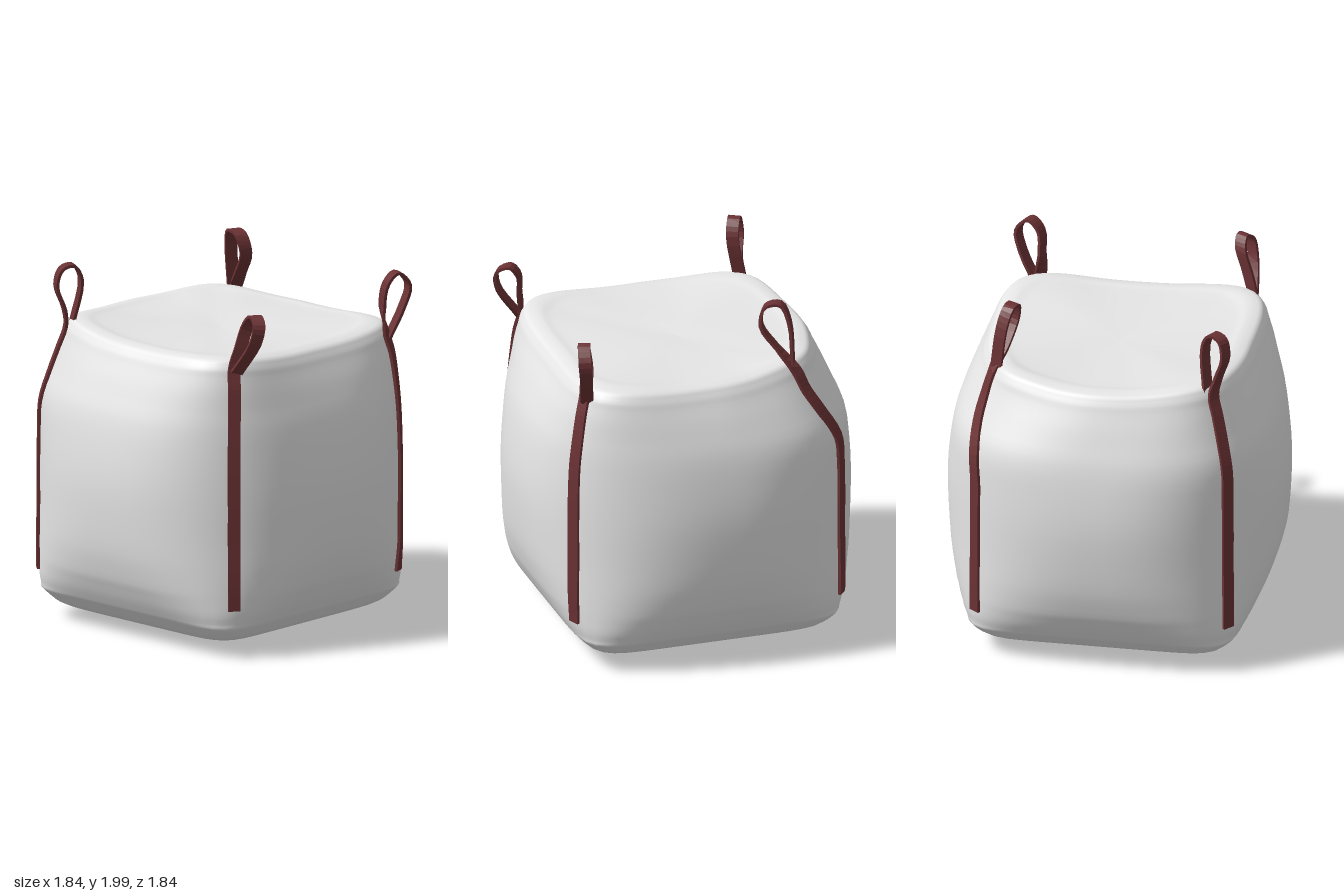
import * as THREE from 'three';

const fabric = new THREE.MeshStandardMaterial({ color: 0xe6e6e6 });
fabric.name = 'light grey fabric';
const webbing = new THREE.MeshStandardMaterial({ color: 0x6b3234 });
webbing.name = 'dark red webbing';

// Bag cross-sections from the base to the middle of the lid: height, half width, squareness
const profile = new THREE.CatmullRomCurve3([
  [0.003, 0.001, 3], [0.012, 0.3, 4], [0.03, 0.46, 6], [0.065, 0.61, 8], [0.1, 0.68, 9],
  [0.15, 0.73, 8.5], [0.2, 0.77, 6.1], [0.3, 0.825, 4], [0.4, 0.865, 3.15], [0.6, 0.905, 2.58],
  [0.9, 0.92, 2.43], [1.2, 0.885, 2.72], [1.4, 0.82, 3.35], [1.55, 0.755, 4.3], [1.61, 0.725, 4.8],
  [1.64, 0.698, 4.9], [1.648, 0.66, 4.9], [1.642, 0.58, 4.5], [1.635, 0.3, 3.5], [1.63, 0.001, 3],
].map((p) => new THREE.Vector3(...p)));
const WALL_END = 14 / 19;

// How far each upper corner is pulled in, quarter by quarter from +x towards +z
const pull = [-0.02, -0.02, 0.07, 0.12];

function bagPoint(u, angle) {
  const { x: h, y: w, z: n } = profile.getPoint(u);
  const c = Math.cos(angle), s = Math.sin(angle);
  const corner = Math.sin(2 * angle) ** 2;
  const quadrant = Math.floor(((angle / (Math.PI / 2)) % 4 + 4) % 4);
  const upper = THREE.MathUtils.smoothstep(h, 1.2, 1.62);
  const r = w * (Math.abs(c) ** n + Math.abs(s) ** n) ** (-1 / n)
    * (1 - pull[quadrant] * upper * corner);
  const x = r * c, z = r * s;
  // Rim rises at the corners and towards the back, and a soft fold crosses the lid
  const lift = THREE.MathUtils.smoothstep(h, 1.35, 1.63) * Math.min(1, w / 0.7) ** 2;
  let y = h + lift * (0.03 * corner ** 2 - 0.01 - 0.014 * (x + z));
  if (u > 16 / 19) y -= 0.007 * Math.exp(-(((x + z) / 0.15) ** 2)) * Math.min(1, (u - 16 / 19) * 19);
  return new THREE.Vector3(x, y, z);
}

function bagGeometry(rings = 76, sides = 96) {
  const pos = [], index = [];
  for (let i = 0; i <= rings; i++) {
    for (let j = 0; j < sides; j++) {
      pos.push(...bagPoint(i / rings, (j / sides) * Math.PI * 2).toArray());
      if (i === rings) continue;
      const a = i * sides + j, b = i * sides + (j + 1) % sides;
      index.push(a, a + sides, b, b, a + sides, b + sides);
    }
  }
  const g = new THREE.BufferGeometry();
  g.setAttribute('position', new THREE.Float32BufferAttribute(pos, 3));
  g.setIndex(index);
  g.computeVertexNormals();
  return g;
}

// Flat band with a rectangular section swept along a curve; widthAt gives its sideways direction
function bandGeometry(curve, widthAt, steps, width = 0.068, thick = 0.016) {
  const pos = [], index = [];
  for (let i = 0; i <= steps; i++) {
    const t = i / steps, p = curve.getPoint(t), tan = curve.getTangent(t);
    const side = widthAt(t).clone();
    side.addScaledVector(tan, -side.dot(tan)).normalize();
    const up = new THREE.Vector3().crossVectors(tan, side);
    for (const [a, b] of [[-1, -1], [1, -1], [1, 1], [-1, 1]]) {
      const v = p.clone().addScaledVector(side, a * width / 2).addScaledVector(up, b * thick / 2);
      pos.push(v.x, v.y, v.z);
    }
    if (i === steps) continue;
    for (let k = 0; k < 4; k++) {
      const a = i * 4 + k, b = i * 4 + (k + 1) % 4;
      index.push(a, b, a + 4, b, b + 4, a + 4);
    }
  }
  const e = steps * 4;
  index.push(0, 2, 1, 0, 3, 2, e, e + 1, e + 2, e, e + 2, e + 3);
  const indexed = new THREE.BufferGeometry();
  indexed.setAttribute('position', new THREE.Float32BufferAttribute(pos, 3));
  indexed.setIndex(index);
  const g = indexed.toNonIndexed();
  g.computeVertexNormals();
  return g;
}

// Parameter on the wall where the bag reaches a height
function wallAt(height) {
  let lo = 0, hi = WALL_END;
  for (let i = 0; i < 30; i++) {
    const mid = (lo + hi) / 2;
    if (profile.getPoint(mid).x < height) lo = mid; else hi = mid;
  }
  return lo;
}

// foot and head: x, z direction of the strap low and high on the wall; loop: free points above the rim
const straps = [
  { name: 'frontLeftStrap', foot: [0.585, 0.77], head: [0.55, 0.69], side: [-0.4, 0, 1],
    loop: [[0.55, 1.75, 0.69], [0.56, 1.88, 0.71], [0.62, 1.935, 0.73], [0.69, 1.86, 0.75],
      [0.66, 1.73, 0.73], [0.58, 1.57, 0.7]] },
  { name: 'frontRightStrap', foot: [-0.67, 0.74], head: [-0.6, 0.67], side: [1, 0, 0.6],
    loop: [[-0.58, 1.73, 0.7], [-0.54, 1.86, 0.72], [-0.54, 1.915, 0.77], [-0.57, 1.88, 0.83],
      [-0.59, 1.78, 0.82], [-0.61, 1.6, 0.7]] },
  { name: 'backLeftStrap', foot: [0.68, -0.73], head: [0.62, -0.48], side: [1, 0, 0.5],
    loop: [[0.57, 1.74, -0.39], [0.53, 1.87, -0.31], [0.52, 1.97, -0.34], [0.54, 1.98, -0.42],
      [0.57, 1.88, -0.46], [0.6, 1.64, -0.47]] },
  { name: 'backRightStrap', foot: [-0.71, -0.68], head: [-0.6, -0.56], side: [-0.6, 0, 1],
    loop: [[-0.64, 1.74, -0.56], [-0.68, 1.87, -0.58], [-0.66, 1.965, -0.56], [-0.6, 1.98, -0.53],
      [-0.56, 1.9, -0.51], [-0.58, 1.64, -0.56]] },
];

function strapMesh({ name, foot, head, side, loop }) {
  const a0 = Math.atan2(foot[1], foot[0]), a1 = Math.atan2(head[1], head[0]);
  const loopSide = new THREE.Vector3(...side).normalize();
  const points = [], sides = [];
  // Stitched length that follows the wall
  for (const h of [0.28, 0.45, 0.65, 0.85, 1.05, 1.22, 1.38, 1.5, 1.6]) {
    const u = wallAt(h), a = THREE.MathUtils.lerp(a0, a1, THREE.MathUtils.smoothstep(h, 1.1, 1.62));
    const across = bagPoint(u, a + 0.04).sub(bagPoint(u, a - 0.04)).setY(0).normalize();
    const out = new THREE.Vector3(across.z, 0, -across.x);
    points.push(bagPoint(u, a).addScaledVector(out, 0.009));
    if (across.dot(loopSide) < 0) across.negate();
    sides.push(across);
  }
  // Free lifting loop
  for (const p of loop) {
    points.push(new THREE.Vector3(...p));
    sides.push(loopSide);
  }
  const last = points.length - 1;
  const widthAt = (t) => {
    const i = Math.min(Math.floor(t * last), last - 1);
    return sides[i].clone().lerp(sides[i + 1], t * last - i);
  };
  const mesh = new THREE.Mesh(bandGeometry(new THREE.CatmullRomCurve3(points), widthAt, last * 4), webbing);
  mesh.name = name;
  return mesh;
}

export function createModel() {
  const model = new THREE.Group();
  model.name = 'bulkBag';
  const bag = new THREE.Mesh(bagGeometry(), fabric);
  bag.name = 'bag';
  model.add(bag, ...straps.map(strapMesh));
  return model;
}
